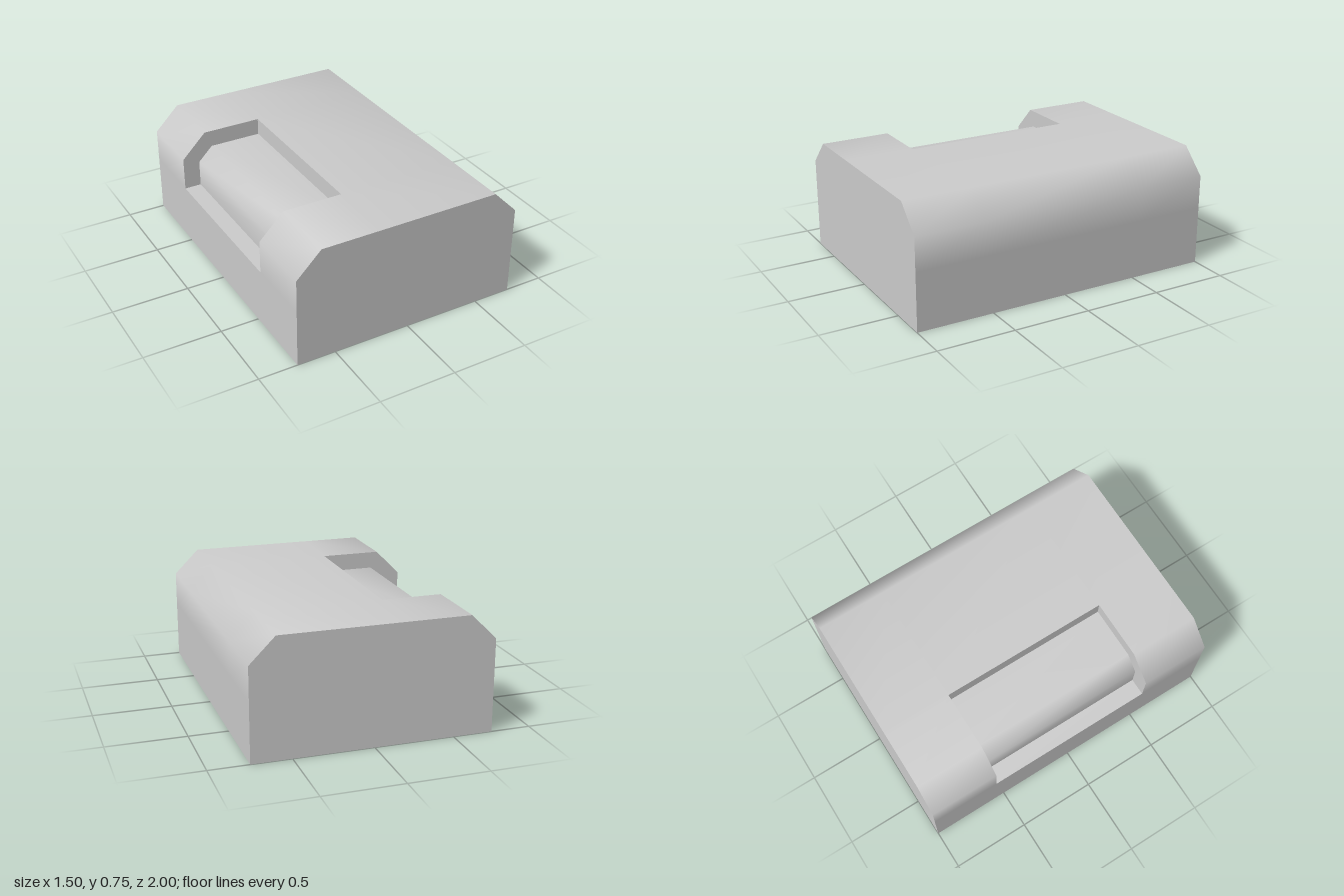
import * as THREE from 'three';

export function createModel() {
  const model = new THREE.Group();
  model.name = 'chamferedCover';
  const grey = new THREE.MeshStandardMaterial({ color: 0xcccccc, side: THREE.DoubleSide });
  grey.name = 'plain grey';

  function add(name, geometry, z = 0) {
    const mesh = new THREE.Mesh(geometry, grey);
    mesh.name = name;
    mesh.position.z = z;
    model.add(mesh);
    return mesh;
  }

  // Smooth sheet sweeping an x,y profile through the given z stations; cut() leaves cells open
  function sheet(profile, stations, cut = () => false) {
    const positions = [], all = [], kept = [], n = profile.length;
    for (const z of stations) for (const [x, y] of profile) positions.push(x, y, z);
    for (let j = 0; j < stations.length - 1; j++) {
      for (let i = 0; i < n - 1; i++) {
        const a = j * n + i, b = a + 1, c = a + n, d = c + 1;
        all.push(a, b, c, b, d, c);
        if (!cut(i, j)) kept.push(a, b, c, b, d, c);
      }
    }
    const geometry = new THREE.BufferGeometry();
    geometry.setAttribute('position', new THREE.Float32BufferAttribute(positions, 3));
    geometry.setIndex(all);
    geometry.computeVertexNormals(); // normals of the uncut sheet
    geometry.setIndex(kept);
    return geometry;
  }

  const flat = (points) => new THREE.ShapeGeometry(
    new THREE.Shape(points.map(([x, y]) => new THREE.Vector2(x, y))));

  const half = 0.55; // half length of the recess
  const outer = [
    [0.75, 0], [0.75, 0.375], [0.75, 0.59], [0.59, 0.75], [-0.205, 0.75],
    [-0.59, 0.75], [-0.75, 0.59], [-0.75, 0.375], [-0.75, 0],
  ];
  const inner = [[-0.205, 0.64], [-0.545, 0.64], [-0.64, 0.545], [-0.64, 0.375]];

  // Shell, open underneath, with an opening over the top right edge
  add('shell', sheet(outer, [-1, -half, half, 1], (i, j) => j === 1 && i >= 4 && i <= 6));

  // Flat ends
  add('frontEnd', flat(outer), 1);
  add('backEnd', flat(outer), -1).rotation.y = Math.PI;

  // Recess: sunken floor, back wall, lower ledge and two end walls
  const span = [-half, half];
  add('recessFloor', sheet(inner, span));
  add('recessWall', sheet([outer[4], inner[0]], span));
  add('recessLedge', sheet([inner[3], outer[7]], span));
  const band = [...outer.slice(4, 8), ...[...inner].reverse()];
  add('recessFrontWall', flat(band), half);
  add('recessBackWall', flat(band), -half);

  return model;
}
